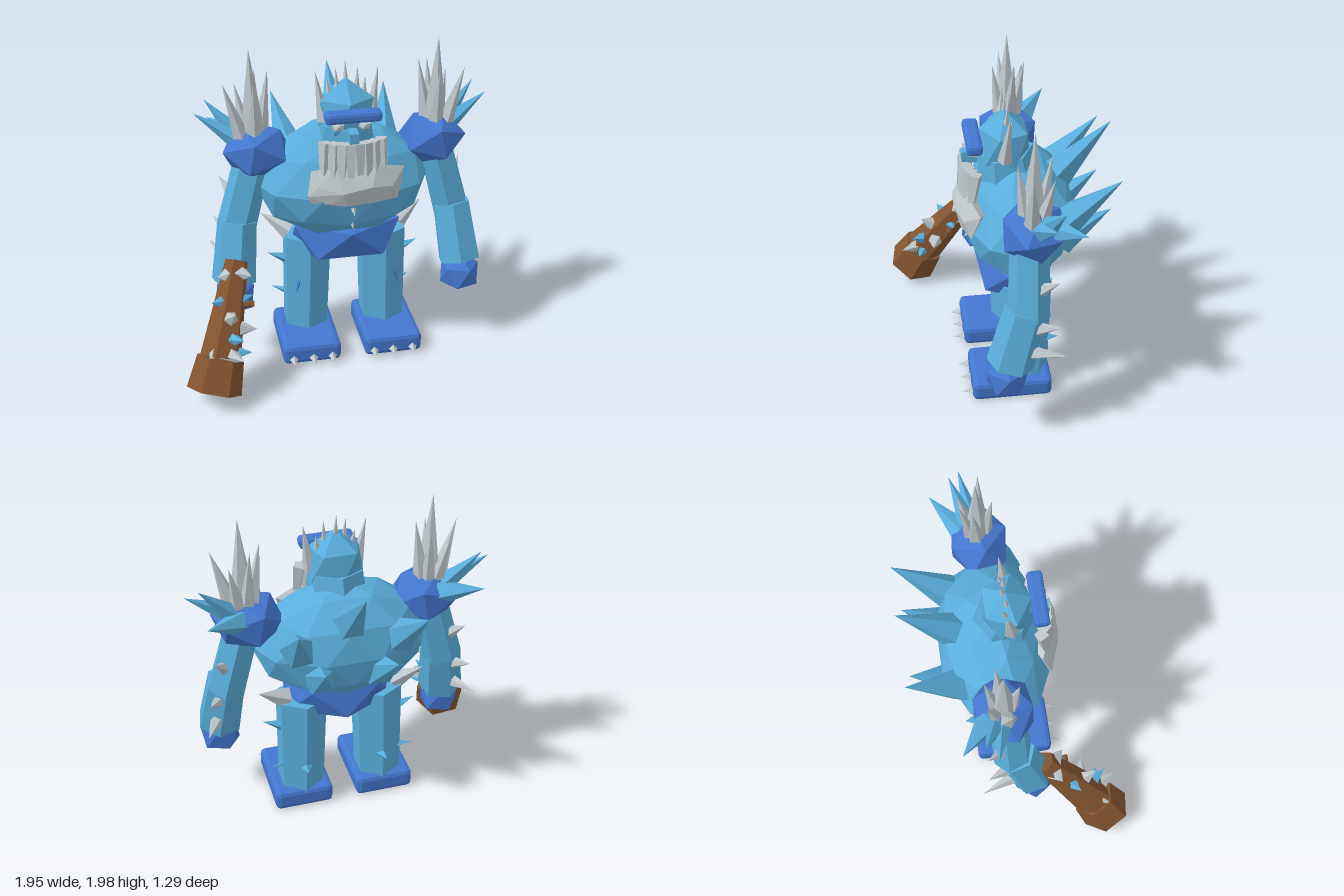
import * as THREE from 'three';
import { RoundedBoxGeometry } from 'three/addons/geometries/RoundedBoxGeometry.js';
import { ConvexGeometry } from 'three/addons/geometries/ConvexGeometry.js';

const mat = (name, color) => {
  const m = new THREE.MeshStandardMaterial({ color, flatShading: true });
  m.name = name;
  return m;
};
const V = (p) => new THREE.Vector3(...p);

export function createModel() {
  const skin = mat('skin blue', 0x5aaedc);
  const deep = mat('deep blue', 0x4377cf);
  const ice = mat('pale grey', 0xbfc8cc);
  const wood = mat('wood brown', 0x825430);
  const model = new THREE.Group();
  model.name = 'iceTroll';
  const midX = 0.08; // body centre line

  const add = (name, geo, material, pos = [0, 0, 0]) => {
    const m = new THREE.Mesh(geo, material);
    m.name = name;
    m.position.set(...pos);
    model.add(m);
    return m;
  };
  // Tapered prism from a to b
  const rod = (name, a, b, ra, rb, material, sides = 6, turn = 0) => {
    const p = V(a), q = V(b), d = q.clone().sub(p);
    const geo = new THREE.CylinderGeometry(rb, ra, d.length(), sides).rotateY(turn);
    const m = add(name, geo, material, p.clone().add(q).multiplyScalar(0.5).toArray());
    m.quaternion.setFromUnitVectors(new THREE.Vector3(0, 1, 0), d.normalize());
    return m;
  };
  const spike = (name, base, tip, r, material, sides = 5) => rod(name, base, tip, r, 0, material, sides);
  // Faceted ball with a vertex at each pole
  const ball = (name, pos, radii, material, detail = 0, turn = 0) => add(name,
    new THREE.IcosahedronGeometry(1, detail).rotateX(-Math.atan((1 + Math.sqrt(5)) / 2)).rotateY(turn).scale(...radii),
    material, pos);

  // Torso: chest narrows upward and is flattened in front under the beard
  const torso = ball('torso', [0.06, 1.15, -0.09], [0.54, 0.37, 0.355], skin, 1).geometry.attributes.position;
  for (let i = 0; i < torso.count; i++) {
    const up = Math.max(torso.getY(i), 0) / 0.37;
    torso.setX(i, torso.getX(i) * (1 - 0.14 * up));
    if (torso.getZ(i) > 0) torso.setZ(i, torso.getZ(i) * (0.96 - 0.35 * up));
  }
  ball('pelvis', [midX, 0.78, -0.08], [0.385, 0.2, 0.27], deep);
  spike('navelSpike', [0.07, 1.0, 0.17], [0.07, 0.94, 0.22], 0.025, ice, 4);
  spike('navelSpike', [0.07, 1.08, 0.22], [0.07, 1.05, 0.265], 0.015, ice, 4);

  // Head and face
  ball('head', [0.07, 1.6, -0.025], [0.185, 0.21, 0.165], skin);
  rod('neck', [0.07, 1.38, -0.05], [0.07, 1.55, -0.03], 0.19, 0.16, skin);
  add('brow', new RoundedBoxGeometry(0.33, 0.065, 0.09, 1, 0.02), deep, [0.075, 1.645, 0.16]);
  add('nose', new THREE.BoxGeometry(0.055, 0.07, 0.09), skin, [0.073, 1.525, 0.18]);
  for (const x of [-0.01, 0.145]) ball('eye', [x, 1.585, 0.155], [0.04, 0.03, 0.04], ice);

  // Hair spikes
  [[-0.11, 1.86], [-0.04, 1.81], [0.01, 1.87], [0.07, 1.91], [0.14, 1.87], [0.19, 1.8], [0.26, 1.86]]
    .forEach(([x, y], i) => spike('hairSpike', [0.075 + (x - 0.075) * 0.75, 1.56, -0.01], [x, y, -0.035 - 0.02 * (i % 2)], 0.045, ice));

  // Moustache strands along an arc
  [0.19, 0.24, 0.2, 0.2, 0.19, 0.22, 0.2, 0.18].forEach((h, i) => {
    const s = (i - 3.5) / 3.5, x = 0.077 + s * 0.16, z = 0.215 - 0.045 * s * s;
    rod('moustacheStrand', [x, 1.495, z - 0.01], [x + s * 0.015, 1.495 - h, z + 0.015], 0.044, 0.026, ice, 4, Math.PI / 4);
  });

  // Beard
  add('beard', new ConvexGeometry([
    [-0.17, 1.32, 0.16], [-0.2, 1.18, 0.21], [-0.18, 1.13, 0.2], [-0.06, 1.13, 0.245], [0.02, 1.12, 0.26],
    [0.2, 1.125, 0.25], [0.34, 1.12, 0.2], [0.39, 1.3, 0.15], [0.21, 1.35, 0.21], [-0.04, 1.35, 0.21],
    [0, 1.21, 0.28], [0.17, 1.24, 0.28], [0.3, 1.22, 0.24], [-0.14, 1.24, 0.22], [0.1, 1.2, 0.02],
  ].map(V)), ice);

  // Back spikes
  [[[-0.22, 1.22, -0.32], [-0.29, 1.51, -0.64]], [[0.37, 1.22, -0.32], [0.44, 1.52, -0.64]],
    [[0.07, 1.35, -0.32], [0.07, 1.69, -0.64]], [[-0.1, 1.02, -0.33], [-0.13, 1.23, -0.62]],
    [[0.25, 1.02, -0.33], [0.29, 1.23, -0.62]]]
    .forEach(([a, b]) => spike('backSpike', a, b, 0.108, skin));

  // Limbs, mirrored about the body centre line
  for (const s of [1, -1]) {
    const at = (x, y, z) => [midX + s * x, y, z];
    const side = s > 0 ? 'left' : 'right';

    // Shoulder with its spikes
    add(side + 'Shoulder', new THREE.IcosahedronGeometry(1, 0).rotateY(s * 0.25).rotateZ(s * 0.15).scale(0.22, 0.175, 0.2),
      deep, at(0.53, 1.355, -0.11));
    [[0.56, 1.99, -0.11, 0.085], [0.45, 1.85, -0.14, 0.06], [0.72, 1.8, -0.08, 0.06], [0.64, 1.75, -0.21, 0.055],
      [0.52, 1.83, -0.21, 0.055], [0.55, 1.8, -0.02, 0.055]]
      .forEach(([x, y, z, r]) => spike(side + 'ShoulderSpike', at(0.55 + (x - 0.56) * 0.35, 1.42, -0.11 + (z + 0.11) * 0.35), at(x, y, z), r, ice));
    [[0.89, 1.59, -0.18], [0.82, 1.65, -0.24], [0.8, 1.48, -0.37]]
      .forEach(([x, y, z]) => spike(side + 'OuterSpike', at(0.6, 1.4, -0.13 + (z + 0.18) * 0.4), at(x, y, z), 0.075, skin));

    // Arm and fist
    rod(side + 'UpperArm', at(0.55, 1.34, -0.09), at(0.675, 0.87, -0.075), 0.11, 0.12, skin);
    rod(side + 'Forearm', at(0.67, 0.92, -0.06), at(0.715, 0.56, 0.035), 0.122, 0.138, skin);
    ball(side + 'Fist', at(0.715, 0.465, 0.05), [0.135, 0.135, 0.135], deep, 0, 0.3);
    spike(side + 'ArmSpike', at(0.68, 1.05, -0.13), at(0.755, 1.15, -0.23), 0.045, ice);
    spike(side + 'ArmSpike', at(0.71, 0.8, -0.08), at(0.8, 0.87, -0.24), 0.055, ice);
    spike(side + 'ArmSpike', at(0.73, 0.65, -0.05), at(0.83, 0.68, -0.28), 0.05, ice);

    // Leg and foot
    rod(side + 'Leg', at(0.25, 0.1, -0.12), at(0.235, 0.77, -0.12), 0.147, 0.16, skin);
    add(side + 'Foot', new RoundedBoxGeometry(0.365, 0.13, 0.49, 1, 0.03), deep, at(0.26, 0.073, -0.025));
    for (const x of [0.135, 0.255, 0.38]) spike(side + 'ToeSpike', at(x, 0.05, 0.2), at(x, 0.045, 0.285), 0.035, ice, 4);
    spike(side + 'HipSpike', at(0.34, 0.78, -0.14), at(0.51, 0.88, -0.2), 0.07, ice);
    spike(side + 'LegSpike', at(0.34, 0.57, -0.14), at(0.48, 0.625, -0.14), 0.045, skin, 4);
    spike(side + 'LegSpike', at(0.32, 0.3, -0.17), at(0.45, 0.33, -0.22), 0.035, skin, 4);
    spike(side + 'LegSpike', at(0.24, 0.31, -0.22), at(0.25, 0.32, -0.33), 0.05, skin, 4);
    spike(side + 'LegThorn', at(0.3, 0.48, -0.01), at(0.33, 0.4, 0.02), 0.014, deep, 4);
  }

  // Club with a thicker end block
  const top = [-0.62, 0.74, 0.11], collar = [-0.77, 0.27, 0.42], end = [-0.825, 0.095, 0.505];
  rod('clubShaft', top, collar, 0.07, 0.128, wood, 6, Math.PI / 6);
  rod('clubHead', collar, end, 0.14, 0.165, wood, 6, Math.PI / 6);
  rod('clubPeg', [-0.66, 0.52, 0.26], [-0.54, 0.52, 0.26], 0.018, 0.018, wood);

  // Spikes on the club: position along the shaft, direction, length, radius
  [[0.12, [0.6, 0.1, 0.6], 0.13, 0.06, ice], [0.15, [-0.8, 0.2, 0.4], 0.12, 0.06, ice],
    [0.42, [-0.7, 0.3, 0.5], 0.15, 0.055, skin], [0.45, [0.8, 0.2, -0.1], 0.15, 0.055, skin],
    [0.7, [0.9, 0, 0.2], 0.19, 0.075, ice], [0.75, [-0.5, -0.3, 0.8], 0.22, 0.08, ice],
    [0.8, [0.5, 0.3, 0.7], 0.19, 0.065, skin], [0.92, [0.5, 0.1, 0.8], 0.21, 0.07, ice],
    [0.95, [0.9, 0.1, 0.3], 0.19, 0.06, skin], [0.62, [0.2, 0.6, 0.7], 0.18, 0.07, ice]]
    .forEach(([t, d, len, r, m]) => {
      const a = V(top).lerp(V(collar), t), dir = V(d).normalize();
      spike('clubSpike', a.clone().addScaledVector(dir, 0.04).toArray(), a.addScaledVector(dir, len).toArray(), r, m);
    });

  return model;
}
